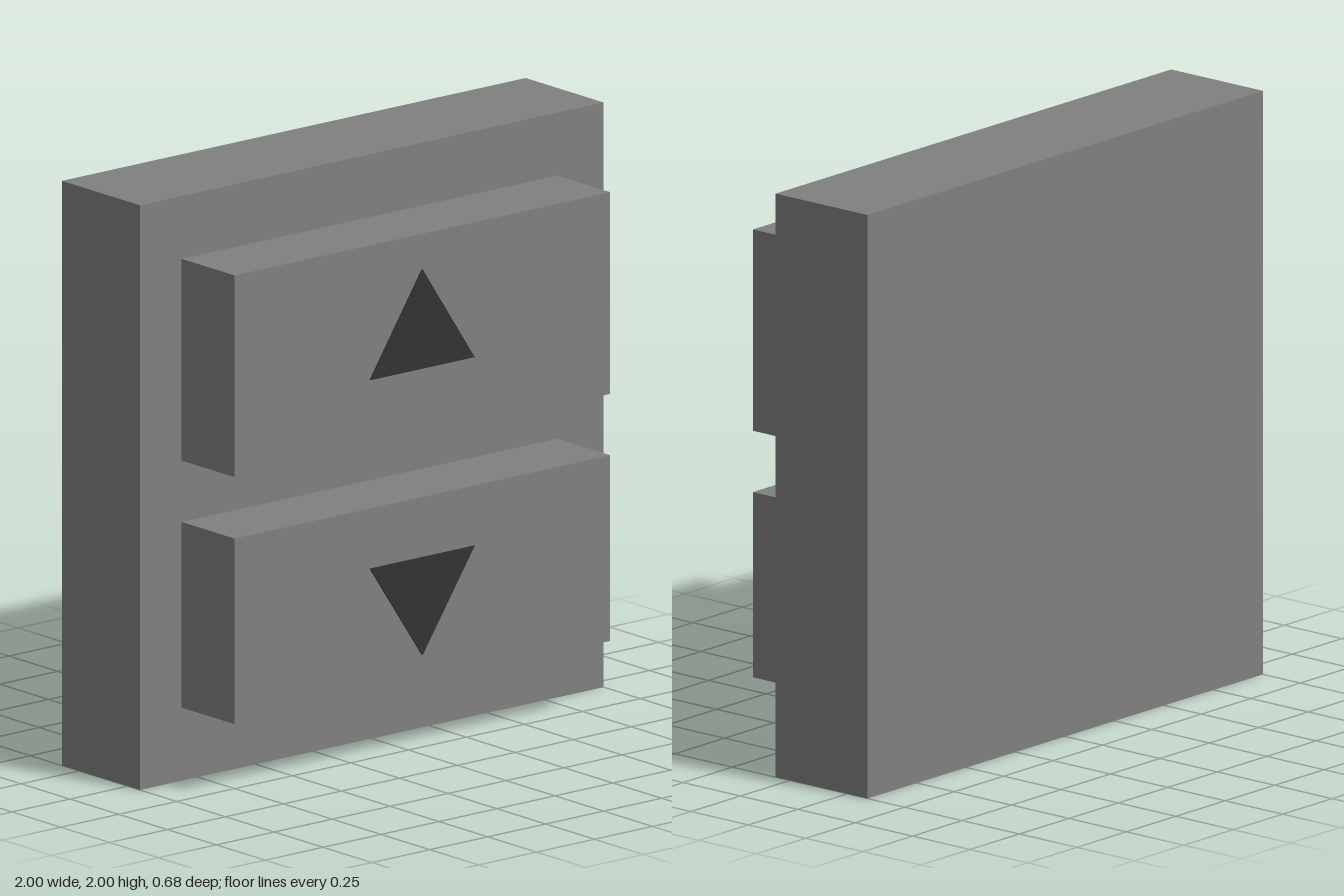
import * as THREE from 'three';

export function createModel() {
  const model = new THREE.Group();
  const panelGrey = new THREE.MeshStandardMaterial({ name: 'panel grey', color: 0x808080 });
  const arrowGrey = new THREE.MeshStandardMaterial({ name: 'arrow dark grey', color: 0x333333 });

  const add = (name, geometry, material, x, y, z) => {
    const mesh = new THREE.Mesh(geometry, material);
    mesh.name = name;
    mesh.position.set(x, y, z);
    model.add(mesh);
  };

  // Square wall plate
  add('backPlate', new THREE.BoxGeometry(2, 2, 0.4), panelGrey, 0, 1, -0.138);

  // Two raised buttons, each with a thin triangular arrow
  const buttons = [
    { name: 'up', bottom: 1.095, top: 1.785, base: 1.325, tip: 1.665 },
    { name: 'down', bottom: 0.25, top: 0.885, base: 0.68, tip: 0.345 },
  ];
  for (const { name, bottom, top, base, tip } of buttons) {
    add(`${name}Button`, new THREE.BoxGeometry(1.62, top - bottom, 0.271), panelGrey,
      -0.01, (bottom + top) / 2, 0.1975);

    const triangle = new THREE.Shape([
      new THREE.Vector2(-0.225, base),
      new THREE.Vector2(0.225, base),
      new THREE.Vector2(0, tip),
    ]);
    add(`${name}Arrow`, new THREE.ExtrudeGeometry(triangle, { depth: 0.005, bevelEnabled: false }),
      arrowGrey, -0.013, 0, 0.333);
  }
  return model;
}
